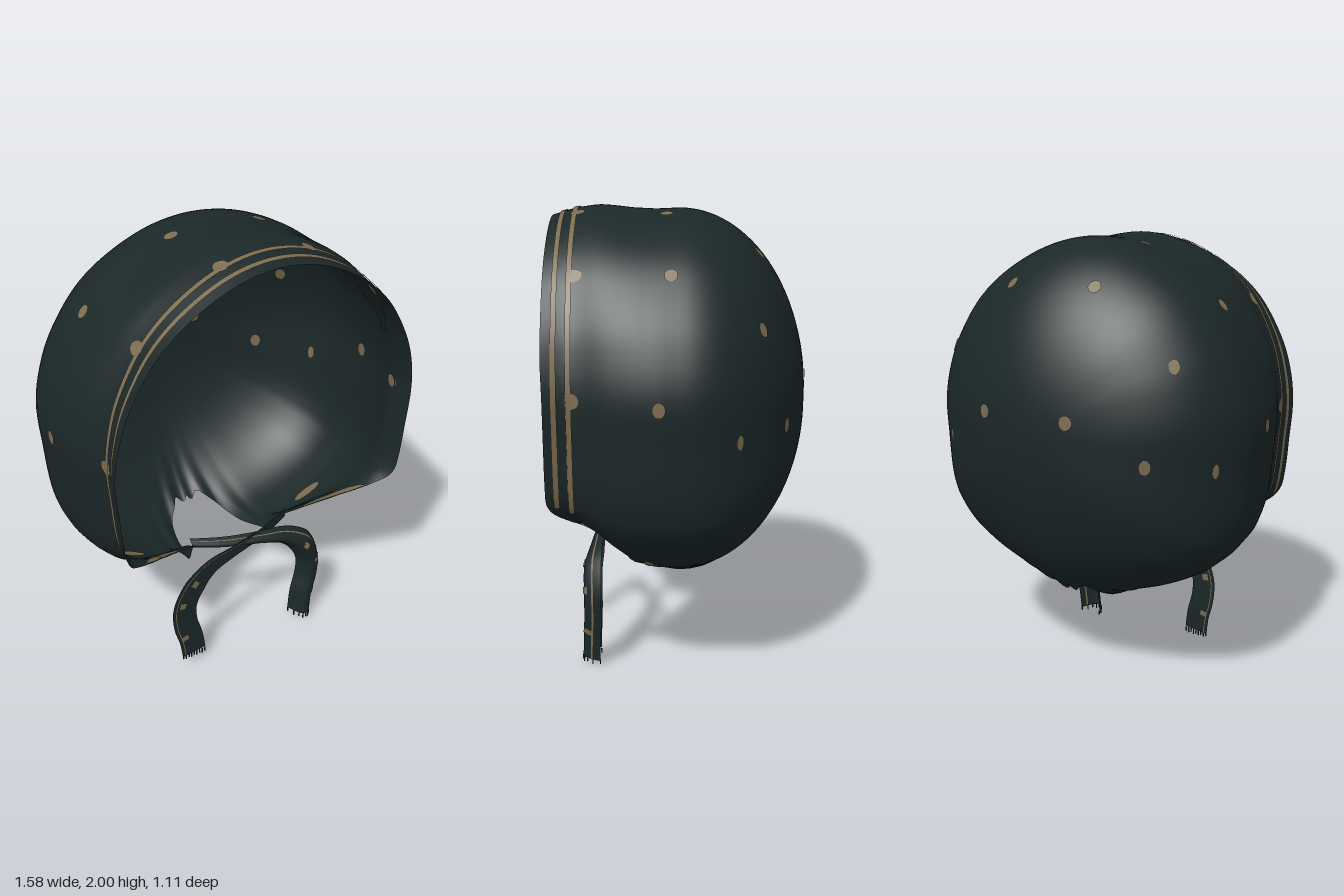
import * as THREE from 'three';

const cloth = new THREE.MeshStandardMaterial({ color: 0x1b2728, side: THREE.DoubleSide });
cloth.name = 'dark cloth';
const tan = new THREE.MeshStandardMaterial({ color: 0x7b6b4f, side: THREE.DoubleSide });
tan.name = 'tan print';

const CY = 1.2, DEPTH = 0.555, { smoothstep, lerp } = THREE.MathUtils;

// Widest outline from nape to crown: x, y, z of the open edge, tuck at that edge
const half = [
  [0, 0.357, -0.23, 1], [0.12, 0.372, -0.16, 1], [0.22, 0.4, 0.18, 1], [0.3, 0.43, 0.29, 0.87],
  [0.45, 0.49, 0.36, 0.88], [0.6, 0.58, 0.435, 0.925], [0.7, 0.69, 0.5, 0.98], [0.74, 0.775, 0.54, 1],
  [0.762, 0.88, 0.545, 1], [0.775, 1.05, 0.545, 1], [0.785, 1.25, 0.545, 1], [0.75, 1.42, 0.55, 1],
  [0.682, 1.575, 0.55, 1], [0.557, 1.745, 0.55, 1], [0.4, 1.865, 0.55, 1], [0.2, 1.955, 0.55, 1], [0, 1.985, 0.55, 1],
];
const loop = [...half, ...half.slice(1, -1).reverse().map(([x, ...r]) => [-x, ...r])];
const closed = (f) => new THREE.CatmullRomCurve3(loop.map(f), true, 'catmullrom', 0.5);
const outline = closed((p) => new THREE.Vector3(p[0], p[1], 0));
const edge = closed((p) => new THREE.Vector3(p[2], p[3], 0));

// Linear lookup in a list of [z, value]
function lookup(list, z) {
  for (let i = 1; i < list.length; i++) {
    const [z0, a] = list[i - 1], [z1, b] = list[i];
    if (z <= z1) return lerp(a, b, (z - z0) / (z1 - z0));
  }
  return list[list.length - 1][1];
}
const sideFront = [[0, 1], [0.1, 0.998], [0.2, 0.98], [0.3, 0.943], [0.37, 0.905], [0.42, 0.88], [0.47, 0.877], [0.55, 0.9]];
const crownFront = [[0, 1], [0.1, 0.994], [0.2, 1], [0.28, 1.012], [0.35, 1.018], [0.45, 1], [0.55, 0.962]];

// Point of the shell on outline position u and at depth z; v runs from 0 at the back to 1 at the edge
function shellPoint(u, z, v, lift = 0) {
  const o = outline.getPoint(u), e = edge.getPoint(u);
  const d = new THREE.Vector3(o.x, o.y - CY, 0);
  const crown = Math.pow(Math.max(0, d.y / d.length()), 1.6);
  let f = z < 0 ? Math.sqrt(Math.max(0, 1 - (z / DEPTH) ** 2)) : lerp(lookup(sideFront, z), lookup(crownFront, z), crown);
  if (e.x > 0) f *= 1 - (1 - e.y) * smoothstep(z, e.x - 0.2, e.x);
  const k = Math.min(u, 1 - u) * loop.length;
  f *= 1 + 0.02 * Math.sin(k * 6) * Math.pow(v, 5) * Math.exp(-((k / 3) ** 2));
  return new THREE.Vector3(d.x * f, CY + d.y * f, z).addScaledVector(d.normalize(), lift);
}

// Surface from a grid of points, rows of equal length
function gridGeometry(rows, wrap = false) {
  const n = rows[0].length, index = [];
  const id = (i, j) => (wrap && j === 0 ? 0 : (i % rows.length) * n + j);
  for (let i = 0; i < rows.length - (wrap ? 0 : 1); i++) {
    for (let j = 0; j < n - 1; j++) {
      const a = id(i, j), b = id(i + 1, j), c = id(i, j + 1), d = id(i + 1, j + 1);
      if (a !== b) index.push(a, b, c);
      index.push(b, d, c);
    }
  }
  const g = new THREE.BufferGeometry().setFromPoints(rows.flat());
  g.setIndex(index);
  g.computeVertexNormals();
  return g;
}

function mesh(parent, name, geometry, material) {
  const m = new THREE.Mesh(geometry, material);
  m.name = name;
  parent.add(m);
  return m;
}

function shellGeometry() {
  const U = 256, V = 48, rows = [];
  for (let i = 0; i < U; i++) {
    const u = i / U, k = Math.min(u, 1 - u) * loop.length;
    const zEnd = edge.getPoint(u).x + 0.015 * Math.sin(k * 9) * Math.exp(-((k / 2) ** 2));
    const end = zEnd < 0 ? Math.acos(-zEnd / DEPTH) : Math.PI / 2 + zEnd / DEPTH;
    rows.push([]);
    for (let j = 0; j <= V; j++) {
      const t = (end * j) / V;
      const z = t < Math.PI / 2 ? -DEPTH * Math.cos(t) : DEPTH * (t - Math.PI / 2);
      rows[i].push(shellPoint(u, z, j / V));
    }
  }
  return gridGeometry(rows, true);
}

// Printed band between outline points; depths(t, u) gives its two edges
function bandGeometry(from, to, lift, depths) {
  const rows = [];
  for (let i = 0; i <= 160; i++) {
    const u = lerp(from, to, i / 160) / loop.length;
    rows.push(depths(i / 160, u).map((z) => shellPoint(u, z, 0, lift)));
  }
  return gridGeometry(rows);
}

// Thin printed dot on both faces of the shell, dropped onto the nearest spot
function addDot(parent, shell, target, rx, ry, along) {
  const P = shell.attributes.position, N = shell.attributes.normal;
  const p = new THREE.Vector3(), n = new THREE.Vector3();
  let best = 0, dist = Infinity;
  for (let i = 0; i < P.count; i++) {
    const d = p.fromBufferAttribute(P, i).distanceToSquared(target);
    if (d < dist) { dist = d; best = i; }
  }
  p.fromBufferAttribute(P, best);
  n.fromBufferAttribute(N, best);
  const pos = target.clone().addScaledVector(n, p.sub(target).dot(n));
  const y = along.clone().addScaledVector(n, -along.dot(n)).normalize();
  const basis = new THREE.Matrix4().makeBasis(y.clone().cross(n), y, n);
  for (const s of [1, -1]) {
    const dot = mesh(parent, 'printedDot', new THREE.CircleGeometry(1, 14), tan);
    dot.scale.set(rx, ry, 1);
    dot.quaternion.setFromRotationMatrix(basis);
    dot.position.copy(pos).addScaledVector(n, 0.004 * s);
  }
}

// Part of a tie: fractions a to b of its half width, t0 to t1 of its length; bow arches it forward
function stripGeometry(points, bow, [a, b], [t0, t1], lift = 0) {
  const path = new THREE.CatmullRomCurve3(points.map((p) => new THREE.Vector3(p[0], p[1], p[2])));
  const rows = [], S = 48, W = 6;
  for (let i = 0; i <= S; i++) {
    const t = lerp(t0, t1, i / S), c = path.getPoint(t), g = path.getTangent(t);
    const q = t * (points.length - 1), k = Math.min(Math.floor(q), points.length - 2);
    const w = lerp(points[k][3], points[k + 1][3], q - k);
    const across = new THREE.Vector3(-g.y, g.x, 0).normalize().multiplyScalar(w);
    rows.push([]);
    for (let j = 0; j <= W; j++) {
      const s = lerp(a, b, j / W), p = c.clone().addScaledVector(across, s);
      p.z += bow * w * (0.5 - s * s) + lift;
      rows[i].push(p);
    }
  }
  return gridGeometry(rows);
}

function tie(side, dz, endY, bow) {
  const g = new THREE.Group();
  g.name = side > 0 ? 'leftTie' : 'rightTie';
  const pts = [
    [-0.25, 0.575, 0.28, 0.022], [-0.1, 0.555, 0.33, 0.027], [0.08, 0.535, 0.365, 0.032], [0.2, 0.505, 0.375, 0.045],
    [0.295, 0.44, 0.39, 0.06], [0.345, 0.34, 0.39, 0.06], [0.345, 0.24, 0.39, 0.06],
    [0.32, 0.14, 0.395, 0.06], [0.308, endY, 0.4, 0.06],
  ].map(([x, y, z, w]) => [x * side, y, z + dz, w]);
  mesh(g, 'tieRibbon', stripGeometry(pts, bow, [-1, 1], [0, 1]), cloth);
  for (const lift of [0.004, -0.004]) {
    mesh(g, 'tieTrim', stripGeometry(pts, bow, [0.7 * side, 0.77 * side], [0, 1], lift), tan);
    for (const [t, s] of [[0.49, 0.1], [0.62, 0.25], [0.85, 0.45]]) {
      mesh(g, 'tieDot', stripGeometry(pts, bow, [(s - 0.25) * side, (s + 0.25) * side], [t - 0.017, t + 0.017], lift), tan);
    }
  }
  // frayed end
  for (let i = 0; i < 9; i++) {
    const s = (i - 4) / 4, h = 0.022 + 0.006 * (i % 2);
    mesh(g, 'fringe', new THREE.BoxGeometry(0.005, h, 0.005), cloth)
      .position.set((0.308 + 0.056 * s) * side, endY - h / 2 + 0.002, 0.4 + dz + bow * 0.06 * (0.5 - s * s));
  }
  return g;
}

export function createModel() {
  const model = new THREE.Group();
  model.name = 'bonnet';
  const shell = shellGeometry(), N = loop.length;
  mesh(model, 'bonnetShell', shell, cloth);
  mesh(model, 'innerBand', bandGeometry(6.3, N - 6.3, 0.005, () => [0.435, 0.457]), tan);
  mesh(model, 'outerBand', bandGeometry(6.8, N - 6.8, 0.005, () => [0.491, 0.512]), tan);

  // tapered prints along the lower cheek edges
  const cheek = (t, u) => {
    const z = edge.getPoint(u).x - 0.004;
    return [z - 0.045 * Math.sin(Math.PI * t), z];
  };
  for (const lift of [0.004, -0.004]) {
    mesh(model, 'leftCheekPrint', bandGeometry(3.6, 5.7, lift, cheek), tan);
    mesh(model, 'rightCheekPrint', bandGeometry(N - 5.7, N - 3.6, lift, cheek), tan);
  }

  // scattered dots: x, y, z, half width
  const up = new THREE.Vector3(0, 1, 0.01);
  const dots = [
    [0.21, 1.785, -0.325, 0.028], [0.21, 1.27, -0.52, 0.028], [0.575, 1.5, -0.31, 0.024], [0.5, 1.11, -0.4, 0.024],
    [0.73, 1.08, -0.22, 0.016], [0.205, 1.96, 0.06, 0.027], [0.605, 1.725, 0.05, 0.027], [0.785, 1.22, 0.1, 0.026],
    [0.195, 1.96, 0.432, 0.032], [0.57, 1.73, 0.432, 0.032], [0.69, 1.24, 0.434, 0.03],
  ];
  for (const s of [1, -1]) {
    for (const [x, y, z, r] of dots) addDot(model, shell, new THREE.Vector3(x * s, y, z), r, 0.031, up);
    // stretched dot in the gathered lower part
    addDot(model, shell, new THREE.Vector3(0.48 * s, 0.53, 0.14), 0.022, 0.075, new THREE.Vector3(s, 1, 0));
  }
  model.add(tie(1, 0, 0.026, 1.3), tie(-1, 0.012, 0.05, 0));
  return model;
}
